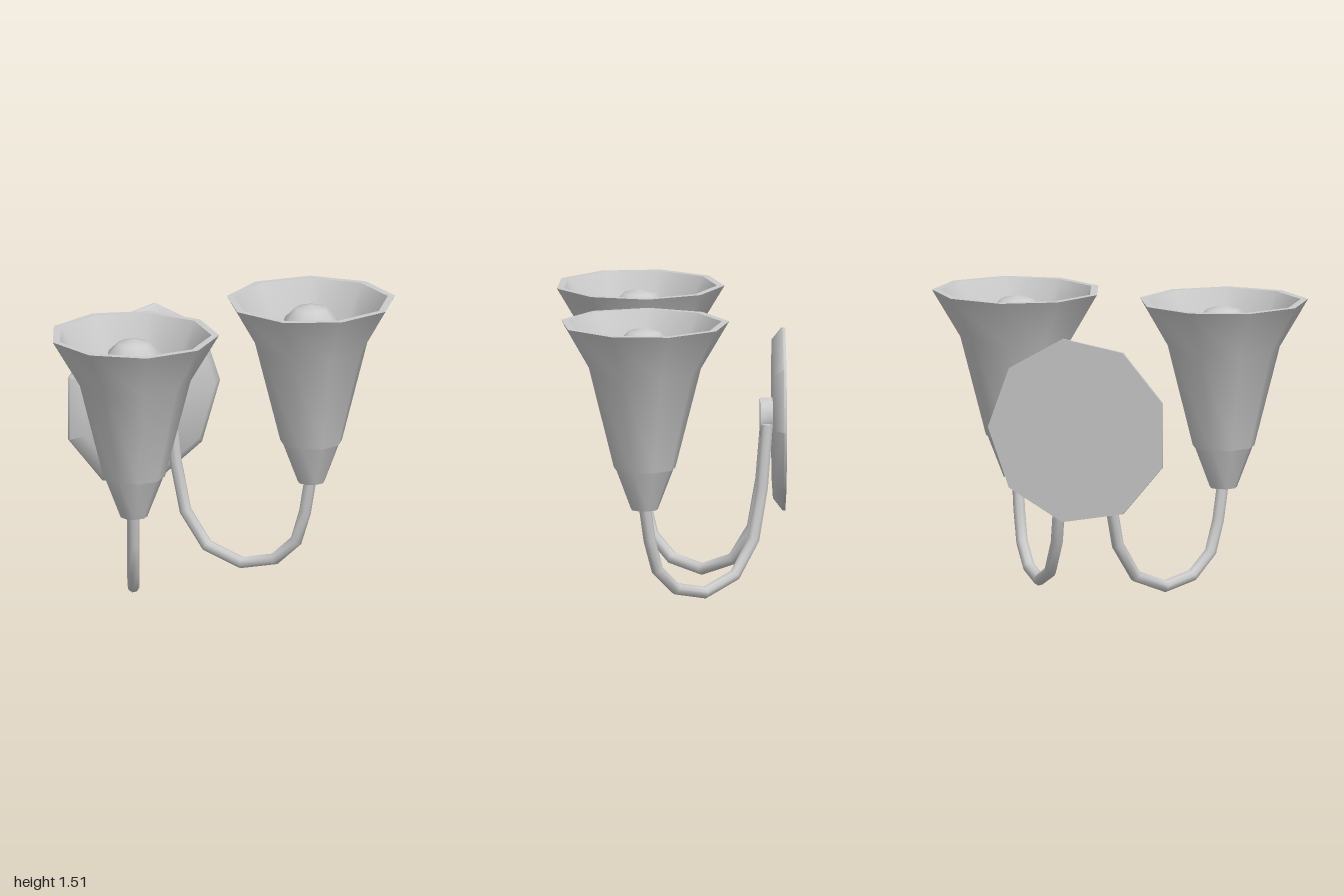
import * as THREE from 'three';
import { toCreasedNormals } from 'three/addons/utils/BufferGeometryUtils.js';

const SIDES = 9;
const material = new THREE.MeshStandardMaterial({ color: 0xcccccc });

function addMesh(parent, name, geometry) {
  const mesh = new THREE.Mesh(geometry, material);
  mesh.name = name;
  parent.add(mesh);
  return mesh;
}

// Nine-sided turned part; profile is a list of [radius, height]
function turned(profile, phiStart) {
  const points = profile.map(([r, y]) => new THREE.Vector2(r, y));
  return toCreasedNormals(new THREE.LatheGeometry(points, SIDES, phiStart), 1.0);
}

// Turned part lying along z, with a corner pointing to +x
function turnedAlongZ(profile) {
  return turned(profile, Math.PI / 2).rotateX(Math.PI / 2);
}

// Arm centre line as [z, y], from the cup down and up to the wall mount
const armPath = [
  [0.155, 0.56], [0.127, 0.355], [0.085, 0.19], [-0.015, 0.078], [-0.168, 0.038],
  [-0.33, 0.112], [-0.43, 0.29], [-0.475, 0.555], [-0.502, 0.893],
];
const LAMP_X = 0.567, LAMP_Z = 0.155, ARM_RADIUS = 0.032;

function createArm(side) {
  const arm = new THREE.Group();
  const points = armPath.map(([z, y]) =>
    new THREE.Vector3(side * (LAMP_X - (LAMP_Z - z) * 0.682), y, z));
  const curve = new THREE.CatmullRomCurve3(points);
  // Rings sit exactly on the path points
  curve.getPointAt = (t, target) => curve.getPoint(t, target);
  curve.getTangentAt = (t, target) => curve.getTangent(t, target);
  addMesh(arm, 'armTube', new THREE.TubeGeometry(curve, points.length - 1, ARM_RADIUS, 8));
  const cap = addMesh(arm, 'armEnd', new THREE.CircleGeometry(ARM_RADIUS, 8));
  cap.position.copy(points[points.length - 1]);
  cap.quaternion.setFromUnitVectors(new THREE.Vector3(0, 0, 1), curve.getTangent(1));
  return arm;
}

function createLamp(side) {
  const lamp = new THREE.Group();
  lamp.position.set(side * LAMP_X, 0, LAMP_Z);
  const phi = Math.PI + side * 0.1;
  // Flared shade with wall thickness: outside up, rim, inside down
  addMesh(lamp, 'shade', turned([
    [0.13, 0.745], [0.165, 0.745], [0.3, 1.27], [0.45, 1.52],
    [0.41, 1.52], [0.262, 1.27], [0.13, 0.745],
  ], phi));
  // Tapered holder under the shade
  addMesh(lamp, 'cup', turned([[0, 0.525], [0.072, 0.525], [0.158, 0.746], [0, 0.746]], phi));
  // Bulb with a rounded head and narrow neck
  addMesh(lamp, 'bulb', turned([
    [0.06, 0.74], [0.075, 1.0], [0.14, 1.22], [0.163, 1.33],
    [0.14, 1.42], [0.085, 1.475], [0, 1.495],
  ], phi));
  return lamp;
}

export function createModel() {
  const model = new THREE.Group();
  model.name = 'wallLamp';

  // Wall plate with a bevelled front edge
  const plate = addMesh(model, 'wallPlate', turnedAlongZ([
    [0, -0.598], [0.496, -0.598], [0.496, -0.584], [0.43, -0.533], [0, -0.533],
  ]));
  // Round boss that carries the arms
  const boss = addMesh(model, 'armMount', turnedAlongZ([
    [0, -0.54], [0.106, -0.54], [0.106, -0.467], [0, -0.467],
  ]));
  plate.position.y = boss.position.y = 0.915;

  for (const side of [1, -1]) {
    const prefix = side > 0 ? 'left' : 'right';
    const arm = createArm(side);
    arm.name = prefix + 'Arm';
    const lamp = createLamp(side);
    lamp.name = prefix + 'Lamp';
    model.add(arm, lamp);
  }
  return model;
}
